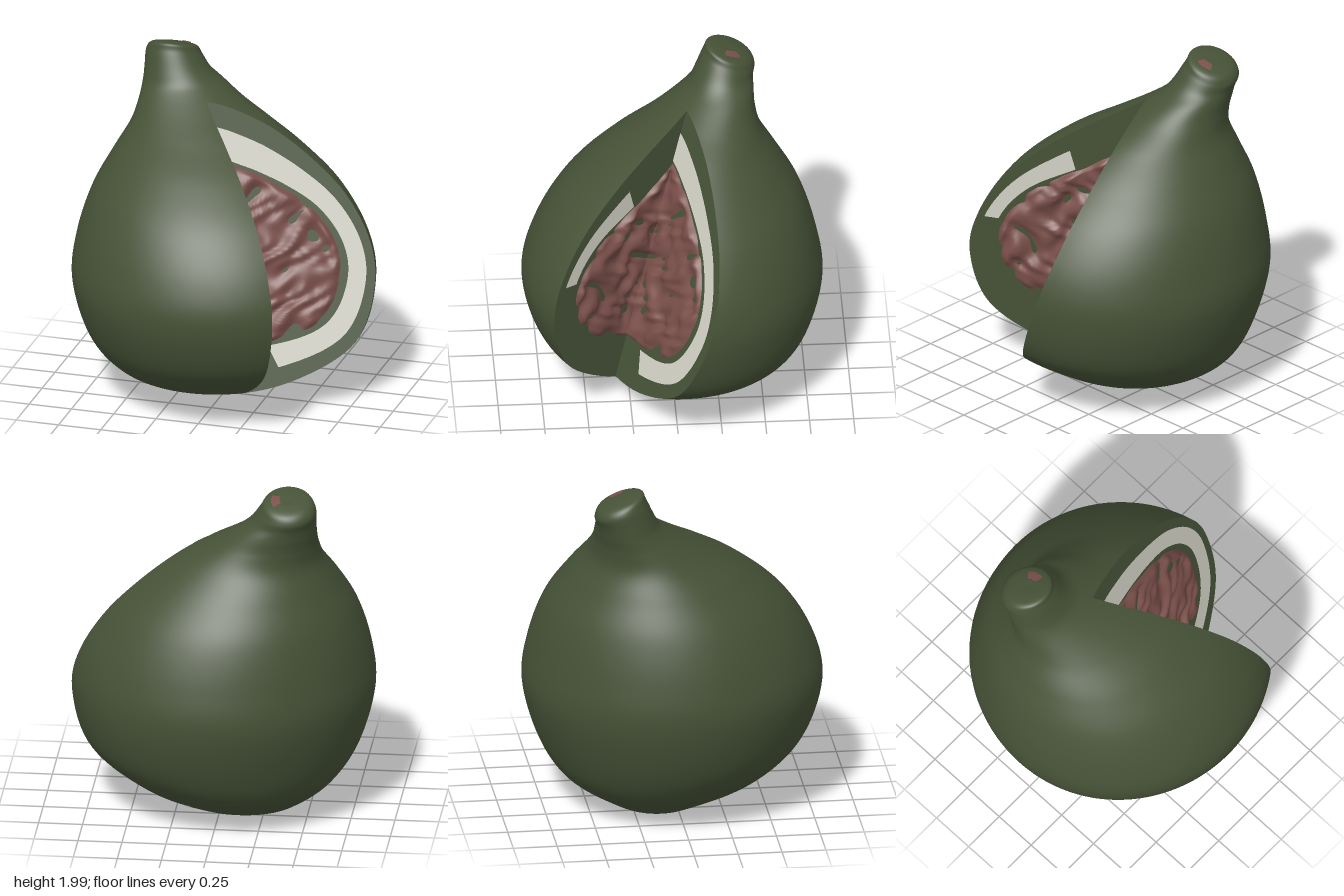
import * as THREE from 'three';
import { mergeVertices } from 'three/addons/utils/BufferGeometryUtils.js';

const mat = (name, color) => {
  const m = new THREE.MeshStandardMaterial({ color });
  m.name = name;
  return m;
};

// Fruit outline, bottom to stem tip: height, then x and z extents
const PROFILE = [
  [0.0, -0.16, -0.16, -0.13, -0.13],
  [0.02, -0.36, 0.08, -0.3, 0.06],
  [0.07, -0.48, 0.26, -0.43, 0.22],
  [0.2, -0.65, 0.53, -0.64, 0.53],
  [0.4, -0.78, 0.78, -0.77, 0.75],
  [0.7, -0.86, 0.86, -0.85, 0.85],
  [0.95, -0.84, 0.82, -0.82, 0.8],
  [1.2, -0.77, 0.67, -0.74, 0.65],
  [1.4, -0.67, 0.46, -0.62, 0.43],
  [1.55, -0.59, 0.25, -0.52, 0.2],
  [1.66, -0.565, 0.06, -0.485, 0.03],
  [1.75, -0.56, -0.08, -0.48, -0.09],
  [1.82, -0.56, -0.18, -0.48, -0.15],
  [1.9, -0.56, -0.24, -0.49, -0.2],
  [1.945, -0.53, -0.27, -0.47, -0.22],
  [1.96, -0.46, -0.34, -0.41, -0.28],
  [1.96, -0.4, -0.4, -0.35, -0.35],
];

function section(t) {
  const n = PROFILE.length - 1;
  const i = Math.min(Math.floor(t * n), n - 1);
  const f = t * n - i;
  const at = (k) => PROFILE[Math.max(0, Math.min(n, k))];
  const v = PROFILE[0].map((_, c) => {
    const [a, b, d, e] = [at(i - 1)[c], at(i)[c], at(i + 1)[c], at(i + 2)[c]];
    return b + 0.5 * f * (d - a + f * (2 * a - 5 * b + 4 * d - e + f * (3 * (b - d) + e - a)));
  });
  return {
    y: v[0], cx: (v[1] + v[2]) / 2, cz: (v[3] + v[4]) / 2,
    rx: Math.max((v[2] - v[1]) / 2, 1e-4), rz: Math.max((v[4] - v[3]) / 2, 1e-4),
  };
}

// Missing wedge: an upright front plane and a leaning back plane meeting in a valley line
const FRONT_DIR = [0.625, 0.781];
const BACK_DIR = [0.922, -0.387];
const FRONT_NORMAL = new THREE.Vector3(0.781, 0, -0.625);
const BACK_NORMAL = new THREE.Vector3(0.42, 0.36, 1).normalize();
const valley = (y) => {
  const x = (0.395 - 0.36 * y) / 1.67;
  return new THREE.Vector3(x, y, 0.075 + 1.25 * x);
};

// Angles on the cross-section where the two cut planes leave it
function cut(s) {
  const v = valley(s.y);
  const px = (v.x - s.cx) / s.rx, pz = (v.z - s.cz) / s.rz;
  const c = px * px + pz * pz - 1;
  const exit = ([x, z]) => {
    if (c >= 0) return Math.atan2(pz, px);
    const dx = x / s.rx, dz = z / s.rz;
    const a = dx * dx + dz * dz, b = px * dx + pz * dz;
    const k = (-b + Math.sqrt(b * b - a * c)) / a;
    return Math.atan2(pz + k * dz, px + k * dx);
  };
  return { open: c < 0, front: exit(FRONT_DIR), back: exit(BACK_DIR) };
}

function skinPoint(s, angle) {
  const p = new THREE.Vector3(s.cx + s.rx * Math.cos(angle), s.y, s.cz + s.rz * Math.sin(angle));
  // the stem tip is sheared off at a slant
  p.y += THREE.MathUtils.smoothstep(s.y, 1.76, 1.93) * 0.36 * (p.z + 0.35);
  return p;
}

function grid(rows, cols, point) {
  const pos = [], idx = [];
  for (let i = 0; i <= rows; i++) {
    for (let j = 0; j <= cols; j++) {
      pos.push(...point(i, j / cols).toArray());
      if (i === rows || j === cols) continue;
      const a = i * (cols + 1) + j, b = a + cols + 1;
      idx.push(a, b, a + 1, b, b + 1, a + 1);
    }
  }
  let g = new THREE.BufferGeometry();
  g.setAttribute('position', new THREE.Float32BufferAttribute(pos, 3));
  g.setIndex(idx);
  g = mergeVertices(g, 1e-5);
  g.computeVertexNormals();
  return g;
}

// Wrinkled pulp, 0 to 1
function wrinkle({ x, y, z }) {
  const w = x + 0.3 * z;
  const a = Math.sin(25 * w + 2.2 * Math.sin(17 * y + 4 * x));
  const b = Math.sin(27 * y + 2.5 * Math.sin(21 * w + 1) + 7 * z);
  const c = Math.sin(49 * w - 37 * y + 2 * Math.sin(25 * y));
  return THREE.MathUtils.clamp(0.54 + 0.22 * a + 0.22 * b + 0.14 * c, 0, 1);
}

export function createModel() {
  const model = new THREE.Group();
  const green = mat('green skin', 0x465237);
  const cream = mat('cream pith', 0xd2d2c6);
  const red = mat('red pulp', 0x7a4f4a);
  const add = (name, geometry, material) => {
    const m = new THREE.Mesh(geometry, material);
    m.name = name;
    model.add(m);
  };

  // Stretch of the profile in which the wedge is open
  const N = 20000;
  let lo = 1, hi = 0;
  for (let i = 0; i <= N; i++) {
    if (!cut(section(i / N)).open) continue;
    lo = Math.min(lo, (i - 1) / N);
    hi = Math.max(hi, (i + 1) / N);
  }

  // Skin rows, denser where the wedge closes
  const R = 90;
  const ts = [];
  for (let i = 0; i < 24; i++) ts.push((lo * i) / 24);
  const cutTs = [];
  for (let i = 0; i <= R; i++) cutTs.push(lo + (hi - lo) * (0.5 - 0.5 * Math.cos((Math.PI * i) / R)));
  ts.push(...cutTs);
  for (let i = 1; i <= 50; i++) ts.push(hi + ((1 - hi) * i) / 50);

  add('skin and stem', grid(ts.length - 1, 120, (i, f) => {
    const s = section(ts[i]);
    const { front, back } = cut(s);
    return skinPoint(s, front + (back + 2 * Math.PI - front) * f);
  }), green);

  // Small marks lying on the skin, given by profile row and angle
  const mark = (row0, row1, a0, a1) => grid(6, 6, (i, f) => {
    const s = section((row0 + ((row1 - row0) * i) / 6) / (PROFILE.length - 1));
    const p = skinPoint(s, a0 + (a1 - a0) * f);
    p.y -= 0.8;
    p.multiplyScalar(1.004).y += 0.8;
    return p;
  });
  add('stem scar', mark(14.5, 15.2, -0.7, 0.3), red);
  add('skin blemish', mark(2.5, 2.75, -1.16, -1.07), cream);

  // Cut faces, laid out radially from a point on the valley line
  const centre = valley(0.85);
  const faces = [
    { side: 'front', normal: FRONT_NORMAL, pith: (p) => p.y > 0.92 && p.y < 1.47, flip: false },
    { side: 'back', normal: BACK_NORMAL, pith: (p) => p.y > 0.7 || p.x > 0.43, flip: true },
  ];
  for (const { side, normal, pith, flip } of faces) {
    const rim = cutTs.map((t) => {
      const s = section(t);
      return skinPoint(s, cut(s)[side]);
    });
    // layers draw further in from the rim towards the top and bottom
    const steep = rim.map((p) => ((p.y - centre.y) / p.distanceTo(centre)) ** 2);
    const band = (from, to, inner, outer, cols, lift) => grid(to - from, cols, (i, f) => {
      const k = steep[from + i];
      const u = flip ? 1 - f : f;
      const s = THREE.MathUtils.lerp(inner(k), outer(k), u);
      const p = centre.clone().lerp(rim[from + i], s);
      return p.addScaledVector(normal, lift(p, u));
    });
    add(side + ' cut face', band(0, R, () => 0, () => 1, 12, () => 0), green);

    const marked = rim.map((p, i) => (pith(p) ? i : -1)).filter((i) => i >= 0);
    add(side + ' pith', band(marked[0], marked[marked.length - 1],
      (k) => 0.82 - 0.18 * k, (k) => 0.94 - 0.1 * k, 4, () => 0.004), cream);

    add(side + ' pulp', band(0, R, () => 0, (k) => 0.79 - 0.15 * k, 60, (p, u) => {
      const edge = 1 - THREE.MathUtils.smoothstep(u, 0.92, 1);
      return -0.008 + 0.05 * wrinkle(p) * edge;
    }), red);
  }
  return model;
}
